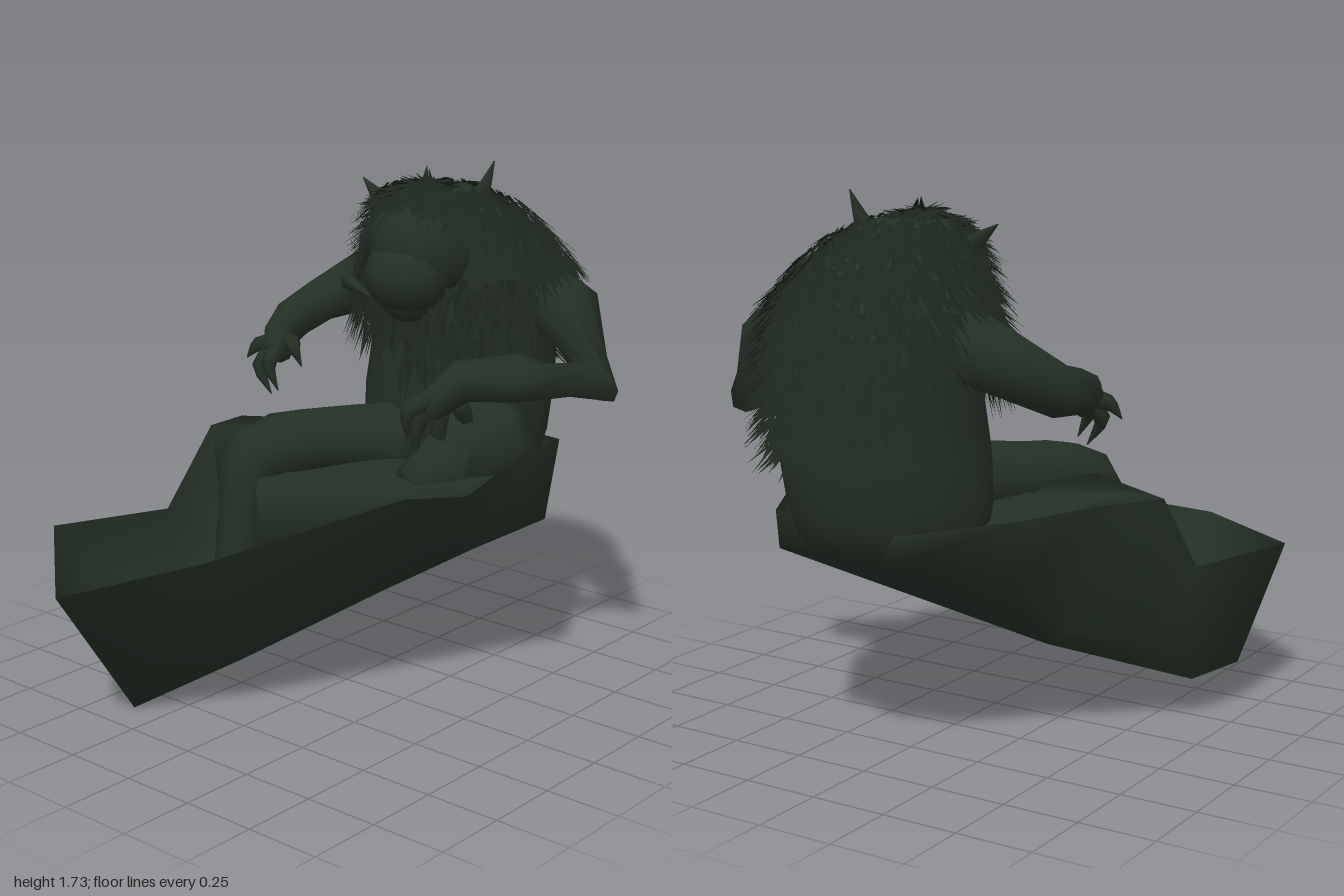
import * as THREE from 'three';

const V = (p) => new THREE.Vector3(...p);

// Skin a list of equal-length point rings, closing the ends with a fan (null leaves an end open).
function loft(rings, tips = []) {
  const pos = [], idx = [], n = rings[0].length;
  rings.forEach((r) => r.forEach((p) => pos.push(p.x, p.y, p.z)));
  for (let i = 0; i < rings.length - 1; i++)
    for (let j = 0; j < n; j++) {
      const a = i * n + j, b = i * n + (j + 1) % n;
      idx.push(a, a + n, b, b, a + n, b + n);
    }
  [0, rings.length - 1].forEach((i, end) => {
    if (tips[end] === null) return;
    const c = tips[end] ? V(tips[end])
      : rings[i].reduce((s, p) => s.add(p), new THREE.Vector3()).divideScalar(n);
    const k = pos.length / 3;
    pos.push(c.x, c.y, c.z);
    for (let j = 0; j < n; j++) {
      const a = i * n + j, b = i * n + (j + 1) % n;
      if (end) idx.push(a, k, b); else idx.push(a, b, k);
    }
  });
  const g = new THREE.BufferGeometry();
  g.setAttribute('position', new THREE.Float32BufferAttribute(pos, 3));
  g.setIndex(idx);
  g.computeVertexNormals();
  return g;
}

// Tapered limb through [x, y, z, radius] stations; one step per station keeps joints angular.
function limb(st, sides = 8, steps = 3) {
  const curve = new THREE.CatmullRomCurve3(st.map((s) => V(s.slice(0, 3))));
  const N = (st.length - 1) * steps;
  const rings = [];
  for (let i = 0; i <= N; i++) {
    const t = i / N, f = t * (st.length - 1), k = Math.min(Math.floor(f), st.length - 2);
    const r = THREE.MathUtils.lerp(st[k][3], st[k + 1][3], f - k);
    const c = curve.getPoint(t), d = curve.getTangent(t);
    const ref = Math.abs(d.z) < 0.9 ? V([0, 0, 1]) : V([0, 1, 0]);
    const u = ref.cross(d).normalize(), w = d.clone().cross(u);
    rings.push(Array.from({ length: sides }, (_, j) => {
      const a = (j / sides) * Math.PI * 2;
      return c.clone().addScaledVector(u, r * Math.cos(a)).addScaledVector(w, r * Math.sin(a));
    }));
  }
  return loft(rings);
}

// Torso stations: y, centre x, centre z, half width, half depth
const TORSO = [
  [0.65, 0.05, -0.52, 0.28, 0.24], [0.7, 0.05, -0.53, 0.31, 0.31], [0.8, 0.05, -0.55, 0.33, 0.34],
  [0.95, 0.06, -0.56, 0.33, 0.36], [1.1, 0.07, -0.57, 0.32, 0.36], [1.25, 0.08, -0.56, 0.34, 0.34],
  [1.4, 0.09, -0.52, 0.36, 0.29], [1.5, 0.1, -0.46, 0.29, 0.25], [1.58, 0.1, -0.4, 0.22, 0.2],
  [1.64, 0.09, -0.34, 0.13, 0.14],
];
function torsoPoint(y, a) {
  let k = 0;
  while (k < TORSO.length - 2 && TORSO[k + 1][0] < y) k++;
  const A = TORSO[k], B = TORSO[k + 1], f = (y - A[0]) / (B[0] - A[0]);
  const [cx, cz, rx, rz] = [1, 2, 3, 4].map((i) => A[i] + (B[i] - A[i]) * f);
  const s = Math.sin(a), spine = 1 - 0.28 * Math.max(0, -s);
  return V([cx + rx * Math.cos(a) * spine, y, cz + rz * s]);
}

export function createModel() {
  const model = new THREE.Group();
  const skin = new THREE.MeshStandardMaterial({ color: 0x243026, side: THREE.DoubleSide });
  skin.name = 'dark green skin';
  const fur = new THREE.MeshStandardMaterial({ color: 0x1c261d, side: THREE.DoubleSide });
  fur.name = 'dark fur';
  const add = (name, geo, mat = skin) => {
    const m = new THREE.Mesh(geo, mat);
    m.name = name;
    model.add(m);
    return m;
  };

  // Open trough: rim and keel corners in matching order
  const rim = [
    [-0.77, 0.53, 0.6], [-0.3, 0.5, 1], [0.02, 0.6, 0.68], [0.39, 0.76, 0.18], [0.48, 0.74, -0.02],
    [0.54, 0.85, -0.28], [0.36, 0.76, -0.7], [-0.16, 0.76, -0.77], [-0.38, 0.77, -0.45],
    [-0.5, 0.78, -0.2], [-0.62, 0.78, 0], [-0.64, 0.52, 0.2],
  ].map(V);
  const keel = [
    [-0.69, 0.15, 0.42], [-0.37, 0, 0.63], [-0.1, 0.17, 0.4], [0.2, 0.38, 0.05], [0.38, 0.5, -0.2],
    [0.55, 0.6, -0.35], [0.3, 0.66, -0.76], [-0.14, 0.67, -0.77], [-0.34, 0.56, -0.45],
    [-0.4, 0.36, -0.2], [-0.57, 0.3, 0.02], [-0.63, 0.14, 0.2],
  ].map(V);
  add('trough', loft([rim, keel], [null, [-0.2, 0.24, 0]]));

  // Seat ledge inside the trough, stepping forward between the legs
  const ledge = [
    [-0.62, 0.78, 0], [-0.36, 0.83, 0.02], [-0.16, 0.7, 0.26], [0.25, 0.74, 0.06], [0.45, 0.76, -0.1],
    [0.4, 0.74, -0.6], [-0.3, 0.74, -0.55], [-0.55, 0.81, -0.08],
  ].map(V);
  const ledgeFoot = ledge.map((p) => V([p.x * (p.x > 0 ? 0.6 : 0.9), Math.max(0.42, 0.5 - p.z * 0.3), p.z * 0.95 + 0.02]));
  add('seatLedge', loft([ledge, ledgeFoot]));

  // Hunched torso
  add('torso', loft(TORSO.map((s) => Array.from({ length: 18 }, (_, j) =>
    torsoPoint(s[0], (j / 18) * Math.PI * 2)))));

  // Head with a long tapering face
  const blob = (name, c, r, tilt = 0) => {
    const m = add(name, new THREE.SphereGeometry(1, 18, 12));
    m.position.set(...c);
    m.scale.set(...r);
    m.rotation.x = tilt;
  };
  blob('head', [0.1, 1.46, -0.28], [0.185, 0.19, 0.19]);
  blob('muzzle', [0.1, 1.375, -0.19], [0.145, 0.13, 0.135], 0.25);
  blob('chin', [0.1, 1.3, -0.2], [0.095, 0.085, 0.095]);

  // Horns and drooping ear
  add('leftHorn', limb([[0.17, 1.52, -0.36, 0.055], [0.23, 1.61, -0.39, 0.035], [0.26, 1.73, -0.43, 0.002]], 6));
  add('rightHorn', limb([[-0.04, 1.5, -0.34, 0.06], [-0.13, 1.57, -0.34, 0.035], [-0.235, 1.64, -0.36, 0.002]], 6));
  add('rightEar', limb([[-0.28, 1.28, -0.34, 0.03], [-0.18, 1.3, -0.24, 0.025], [-0.06, 1.28, -0.19, 0.005]], 6));
  add('hangingLock', limb([[-0.04, 1.56, -0.25, 0.03], [-0.12, 1.46, -0.26, 0.035], [-0.2, 1.31, -0.3, 0.01]], 6));

  // Arms, bent sharply at the elbow
  add('leftArm', limb([
    [0.24, 1.35, -0.54, 0.13], [0.5, 1.25, -0.52, 0.115], [0.69, 1.07, -0.41, 0.085],
    [0.5, 1.08, -0.26, 0.08], [0.36, 1.07, -0.14, 0.07], [0.28, 0.98, -0.07, 0.05],
  ], 8, 1));
  add('rightArm', limb([
    [-0.14, 1.33, -0.54, 0.13], [-0.36, 1.25, -0.52, 0.105], [-0.5, 1.17, -0.44, 0.08],
    [-0.46, 1.14, -0.25, 0.07], [-0.4, 1.11, -0.12, 0.06], [-0.36, 1.07, -0.06, 0.05],
  ], 8, 1));

  // Clawed fingers: root, knuckle and tip
  const fingers = (name, list) => list.forEach(([a, b, c], i) =>
    add(`${name}${i + 1}`, limb([[...a, 0.034], [...b, 0.028], [...c, 0.002]], 5)));
  fingers('leftFinger', [
    [[0.3, 1.02, -0.06], [0.26, 0.98, 0], [0.25, 0.88, -0.01]],
    [[0.29, 1.0, -0.08], [0.25, 0.92, -0.06], [0.24, 0.8, -0.07]],
    [[0.31, 0.99, -0.11], [0.29, 0.88, -0.12], [0.29, 0.72, -0.15]],
    [[0.34, 1.0, -0.15], [0.34, 0.92, -0.2], [0.33, 0.8, -0.24]],
  ]);
  fingers('rightFinger', [
    [[-0.39, 1.1, -0.12], [-0.46, 1.08, -0.08], [-0.5, 1.03, -0.06]],
    [[-0.37, 1.08, -0.07], [-0.41, 1.02, -0.03], [-0.36, 0.93, -0.03]],
    [[-0.35, 1.08, -0.06], [-0.36, 1.04, -0.02], [-0.32, 0.95, -0.02]],
    [[-0.34, 1.1, -0.1], [-0.28, 1.11, -0.05], [-0.24, 1.04, -0.05]],
  ]);

  // Legs: the right hangs into the trough, the left is tucked up on the ledge
  add('rightLeg', limb([
    [0.06, 0.79, -0.3, 0.14], [-0.12, 0.81, -0.05, 0.11], [-0.26, 0.77, 0.14, 0.11],
    [-0.28, 0.58, 0.19, 0.09], [-0.29, 0.28, 0.24, 0.07],
  ]));
  add('leftThigh', limb([[0.32, 0.83, -0.4, 0.18], [0.31, 0.8, -0.2, 0.14], [0.25, 0.72, -0.02, 0.07]]));

  // Fur: thin pointed tufts from a seeded scatter
  let seed = 7;
  const rnd = (a = 0, b = 1) => {
    seed = (seed * 16807) % 2147483647;
    return a + (b - a) * (seed / 2147483647);
  };
  const tufts = [];
  const tuft = (p, out, drop, len, lift = 0) => {
    const root = p.clone().addScaledVector(out, lift);
    const d = out.clone().setY(out.y - drop)
      .add(V([rnd(-0.35, 0.35), rnd(-0.2, 0.2), rnd(-0.35, 0.35)])).normalize();
    const side = d.clone().cross(out).normalize().multiplyScalar(rnd(0.008, 0.016));
    const tip = root.clone().addScaledVector(d, len);
    for (const q of [root.clone().sub(side), root.clone().add(side), tip]) tufts.push(q.x, q.y, q.z);
  };
  // Back and shoulders
  for (let i = 0; i < 4500; i++) {
    const y = rnd(1.0, 1.64), a = rnd(0, Math.PI * 2), s = Math.sin(a);
    if (y < 1.27 + 0.3 * s) continue;
    tuft(torsoPoint(y, a), V([Math.cos(a), 0.4, s]), 1.4, rnd(0.06, 0.12), rnd(0, 0.035));
  }
  // Crown of the head with a low fringe, leaving the face bare
  for (let i = 0; i < 1100; i++) {
    const a = rnd(0, Math.PI * 2), e = rnd(0.1, 1.55);
    const n = V([Math.cos(a) * Math.cos(e), Math.sin(e), Math.sin(a) * Math.cos(e)]);
    if (n.z > 0.25 && n.y < 0.66) continue;
    const flow = V([n.x * 1.2, n.y * 0.4, n.z * 1.2]);
    tuft(V([0.1 + n.x * 0.19, 1.465 + n.y * 0.19, -0.28 + n.z * 0.19]), flow, 0.5, rnd(0.04, 0.08), rnd(0, 0.03));
  }
  // Mane hanging on both sides of the chin
  for (let i = 0; i < 420; i++) {
    const a = rnd(0.25, 2.75);
    const y = rnd(a < 1.5 ? 1.05 : 1.17, 1.38);
    tuft(torsoPoint(y, a), V([Math.cos(a) * 0.3, 0, 0.3]), 1.6, rnd(0.08, 0.15), rnd(0, 0.15));
  }
  const furGeo = new THREE.BufferGeometry();
  furGeo.setAttribute('position', new THREE.Float32BufferAttribute(tufts, 3));
  furGeo.computeVertexNormals();
  add('fur', furGeo, fur);

  return model;
}
